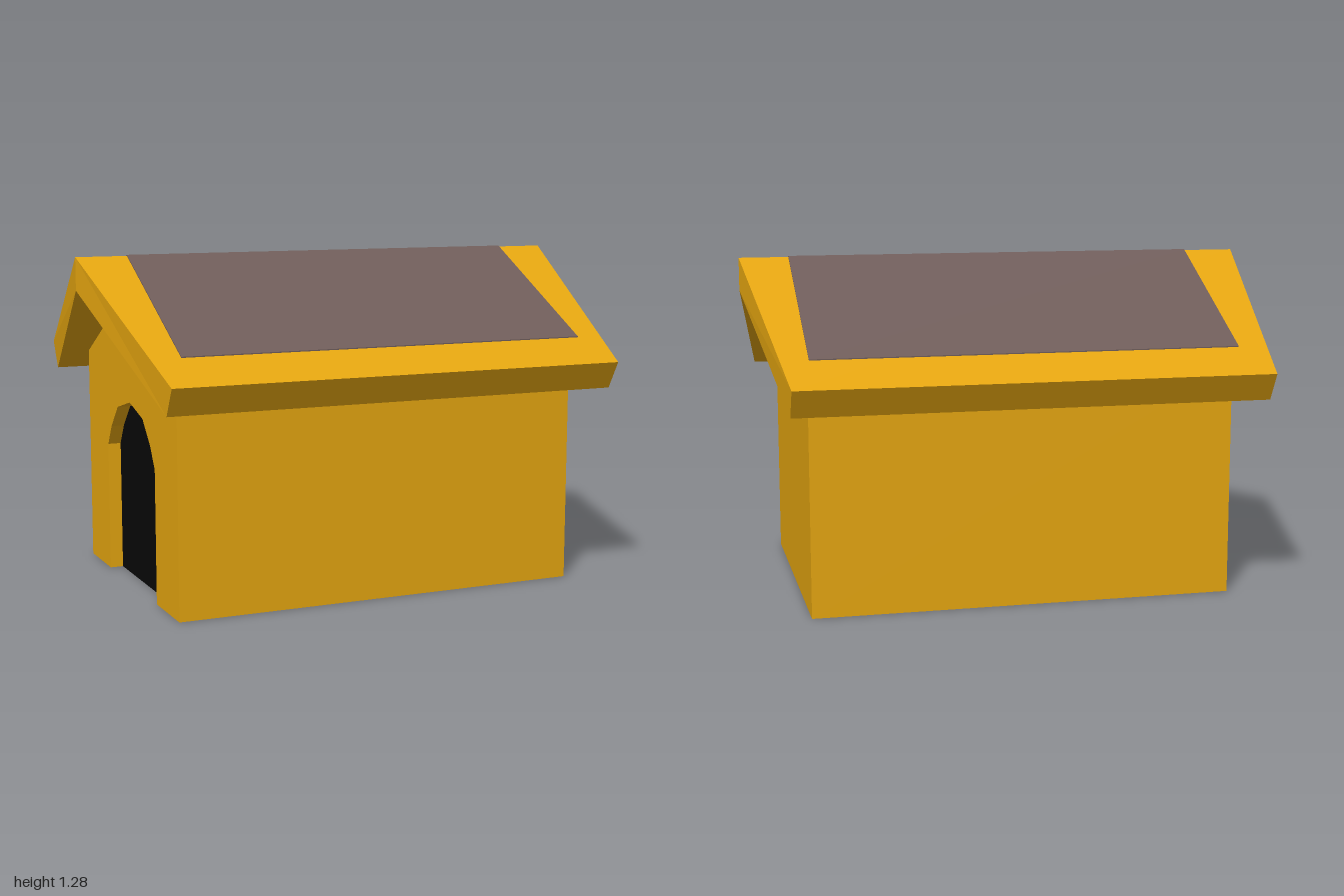
import * as THREE from 'three';

const wood = new THREE.MeshStandardMaterial({ color: 0xe4a510 });
wood.name = 'ochre wood';
const shingle = new THREE.MeshStandardMaterial({ color: 0x6f5d5a });
shingle.name = 'brown roof covering';
const dark = new THREE.MeshStandardMaterial({ color: 0x080808 });
dark.name = 'black doorway';

// Mirrors a half outline (z, y) about z = 0 into a closed outline.
function mirrored(half) {
  const other = half.filter(([z]) => z > 0).map(([z, y]) => [-z, y]).reverse();
  return [...half, ...other];
}

// Extrudes a (z, y) outline along x between two positions.
function prism(name, outline, x0, x1, material) {
  const shape = new THREE.Shape(outline.map(([z, y]) => new THREE.Vector2(z, y)));
  const geometry = new THREE.ExtrudeGeometry(shape, { depth: x1 - x0, bevelEnabled: false });
  geometry.rotateY(Math.PI / 2).translate(x0, 0, 0);
  const mesh = new THREE.Mesh(geometry, material);
  mesh.name = name;
  return mesh;
}

export function createModel() {
  const group = new THREE.Group();
  group.name = 'kennel';

  const backX = 0.81, entranceX = -0.8, recessX = -0.745;
  const gable = [[0.56, 0.865], [0, 1.16], [-0.56, 0.865]];
  const arch = [[0.3, 0.51], [0.25, 0.59], [0.16, 0.68], [0, 0.72]];

  // House body behind the doorway recess
  group.add(prism('body', [[-0.56, 0], [0.56, 0], ...gable], recessX, backX, wood));

  // Entrance wall, with the arched opening cut up from its base
  const opening = mirrored([[0.3, 0], ...arch]);
  group.add(prism('entranceWall',
    [[0.56, 0], ...gable, [-0.56, 0], ...opening.slice().reverse()],
    entranceX, recessX, wood));

  // Black panel at the back of the recess
  group.add(prism('doorway', opening, recessX - 0.004, recessX, dark));

  // Gable roof, drawn in towards the eaves
  const roof = prism('roof',
    [[0, 1.28], [0.78, 0.88], [0.72, 0.775], [0, 1.155], [-0.72, 0.775], [-0.78, 0.88]],
    -1, 1, wood);
  const p = roof.geometry.attributes.position;
  for (let i = 0; i < p.count; i++) {
    if (Math.abs(p.getZ(i)) > 0.01) p.setX(i, p.getX(i) * 0.89);
  }
  roof.geometry.computeVertexNormals();
  group.add(roof);

  // Covering laid over both slopes
  group.add(prism('roofCovering',
    [[0, 1.284], [0.62, 0.966], [0.62, 0.96], [0, 1.278], [-0.62, 0.96], [-0.62, 0.966]],
    entranceX, backX, shingle));

  return group;
}
